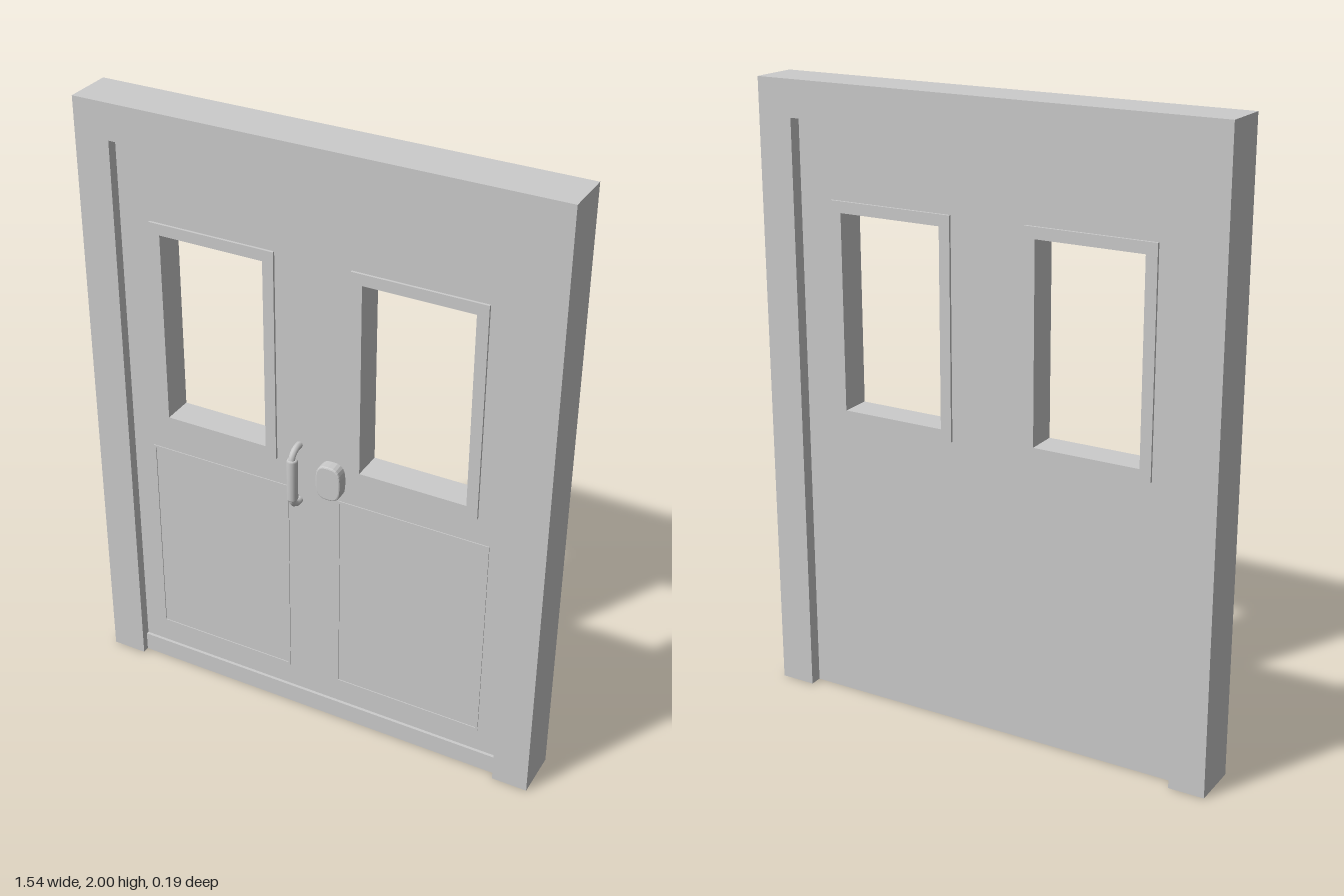
import * as THREE from 'three';

const mat = new THREE.MeshStandardMaterial({ color: 0xcccccc });

function rect(Type, x0, x1, y0, y1) {
  const p = new Type();
  p.moveTo(x0, y0);
  p.lineTo(x1, y0);
  p.lineTo(x1, y1);
  p.lineTo(x0, y1);
  p.closePath();
  return p;
}

export function createModel() {
  const group = new THREE.Group();
  const add = (name, geometry, parent = group) => {
    const m = new THREE.Mesh(geometry, mat);
    m.name = name;
    parent.add(m);
    return m;
  };
  // flat outline with rectangular holes, extruded from z0 to z1
  const slab = (name, shape, holes, z0, z1) => {
    shape.holes = holes.map(h => rect(THREE.Path, ...h));
    const g = new THREE.ExtrudeGeometry(shape, { depth: z1 - z0, bevelEnabled: false, curveSegments: 6 });
    return add(name, g.translate(0, 0, z0));
  };
  const grow = ([x0, x1, y0, y1], d) => [x0 - d, x1 + d, y0 - d, y1 + d];

  const W = 0.768, IN = 0.652, TOP = 1.885, FRONT = 0.03, BACK = -0.055;

  // door frame: two posts and a head in one piece
  const frame = new THREE.Shape([
    [-W, 0], [-IN, 0], [-IN, TOP], [IN, TOP], [IN, 0], [W, 0], [W, 2], [-W, 2],
  ].map(p => new THREE.Vector2(...p)));
  slab('doorFrame', frame, [], -0.095, 0.063);

  // door leaf with two window openings
  const windows = [[-0.512, -0.165, 0.98, 1.607], [0.155, 0.503, 0.98, 1.607]];
  slab('doorLeaf', rect(THREE.Shape, -IN, IN, 0, TOP), windows.map(w => grow(w, 0.01)), BACK, FRONT);

  // window surrounds, standing slightly proud on both faces
  for (const w of windows) {
    slab('windowTrim', rect(THREE.Shape, ...grow(w, 0.036)), [w], BACK - 0.008, FRONT + 0.008);
  }

  // shallow mouldings of the lower panels
  for (const p of [[-0.58, -0.09, 0.145, 0.855], [0.08, 0.58, 0.145, 0.855]]) {
    slab('panelMoulding', rect(THREE.Shape, ...p), [grow(p, -0.008)], FRONT - 0.005, FRONT + 0.003);
  }

  // kick rail along the bottom
  slab('kickRail', rect(THREE.Shape, -IN, IN, 0, 0.065), [], FRONT - 0.01, FRONT + 0.01);

  // pull handle: curved bar with a thicker grip
  const handle = new THREE.Group();
  handle.name = 'pullHandle';
  handle.position.set(-0.051, 0.917, 0);
  const path = new THREE.CatmullRomCurve3([
    [-0.1, FRONT - 0.005], [-0.098, 0.055], [-0.08, 0.077], [0, 0.079],
    [0.08, 0.077], [0.098, 0.055], [0.1, FRONT - 0.005],
  ].map(([y, z]) => new THREE.Vector3(0, y, z)));
  add('handleBar', new THREE.TubeGeometry(path, 40, 0.011, 8), handle);
  const grip = new THREE.LatheGeometry([
    [0, -0.073], [0.014, -0.073], [0.018, -0.067], [0.018, 0.067], [0.014, 0.073], [0, 0.073],
  ].map(p => new THREE.Vector2(...p)), 12);
  add('handleGrip', grip, handle).position.z = 0.078;
  group.add(handle);

  // rounded lock plate
  const plate = new THREE.Shape();
  const a = 0.037, b = 0.054, n = 24;
  for (let i = 0; i < n; i++) {
    const t = (i / n) * Math.PI * 2, c = Math.cos(t), s = Math.sin(t);
    const x = a * Math.sign(c) * Math.abs(c) ** 0.65, y = b * Math.sign(s) * Math.abs(s) ** 0.65;
    if (i) plate.lineTo(x, y); else plate.moveTo(x, y);
  }
  plate.closePath();
  const plateGeo = new THREE.ExtrudeGeometry(plate, {
    depth: 0.032, bevelSize: 0.005, bevelThickness: 0.005, bevelSegments: 2,
  });
  add('lockPlate', plateGeo).position.set(0.063, 0.93, FRONT);

  return group;
}
